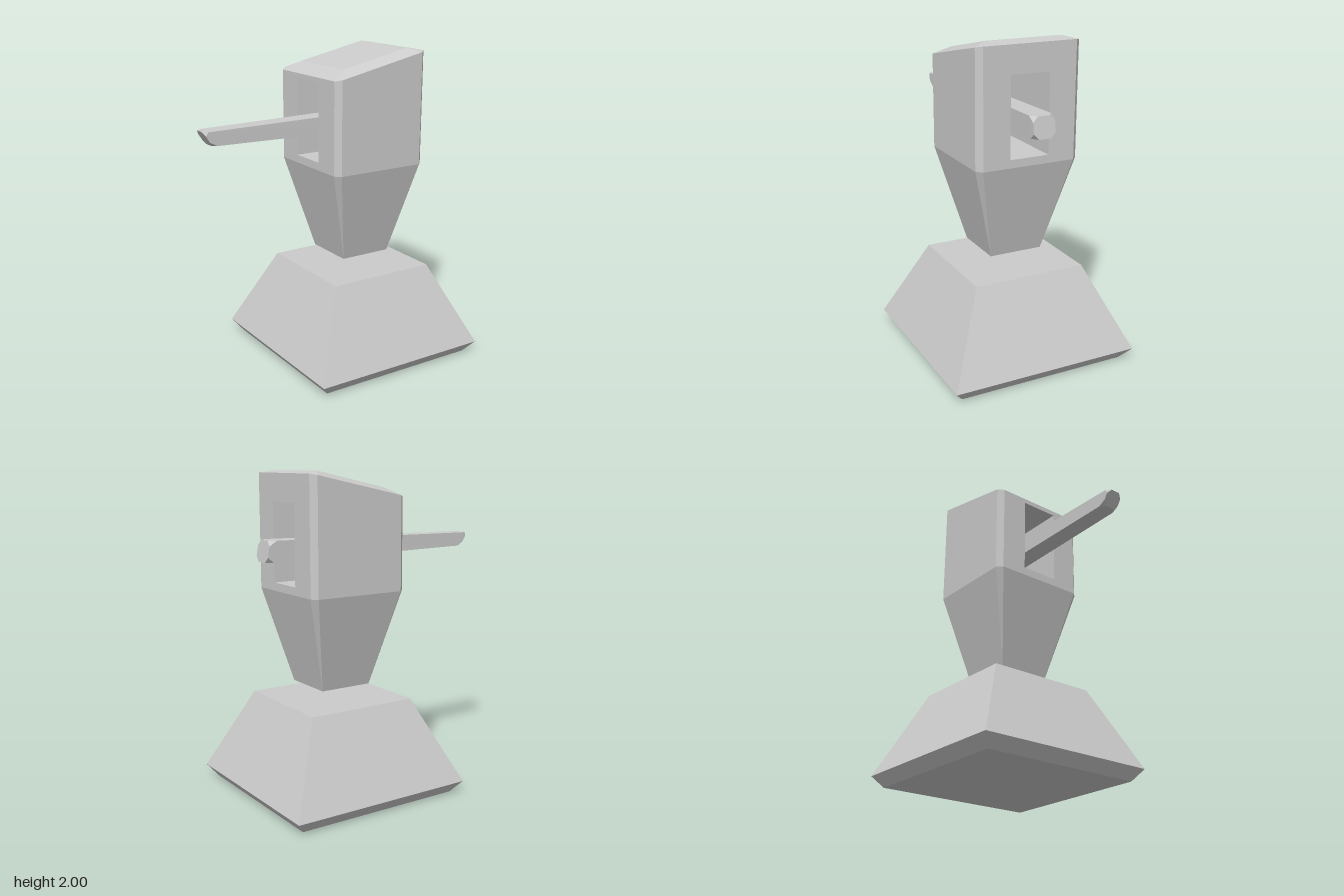
import * as THREE from 'three';

const material = new THREE.MeshStandardMaterial({ color: 0xcccccc, flatShading: true });

// Rectangle with its corners cut by c, counter-clockwise in (u, v), put in space by place().
// With c = 0 the corner points coincide in pairs, so it can be joined to a cut one.
function section(u0, u1, v0, v1, c, place) {
  return [
    [u0 + c, v0], [u1 - c, v0], [u1, v0 + c], [u1, v1 - c],
    [u1 - c, v1], [u0 + c, v1], [u0, v1 - c], [u0, v0 + c],
  ].map(([u, v]) => new THREE.Vector3(...place(u, v)));
}

// Horizontal section whose height may depend on x.
const level = (x0, x1, halfZ, c, y) =>
  section(x0, x1, -halfZ, halfZ, c, (x, v) => [x, y(x), -v]);

// Upright section across the bar; x may lean with the height.
const across = (y0, y1, z0, z1, c, x) =>
  section(y0, y1, z0, z1, c, (y, z) => [x(y), y, z]);

// Polygons joining successive sections, with both ends capped.
function loft(rings, skip = () => false) {
  const faces = [[...rings[0]].reverse(), rings[rings.length - 1]];
  for (let r = 0; r + 1 < rings.length; r++) {
    for (let i = 0; i < 8; i++) {
      const j = (i + 1) % 8;
      if (!skip(r, i)) faces.push([rings[r][i], rings[r][j], rings[r + 1][j], rings[r + 1][i]]);
    }
  }
  return faces;
}

// Mesh from convex polygons, leaving out collapsed triangles.
function meshOf(name, faces) {
  const points = [];
  for (const f of faces) {
    for (let i = 1; i + 1 < f.length; i++) {
      const tri = new THREE.Triangle(f[0], f[i], f[i + 1]);
      if (tri.getArea() > 1e-7) points.push(tri.a, tri.b, tri.c);
    }
  }
  const geometry = new THREE.BufferGeometry().setFromPoints(points);
  geometry.computeVertexNormals();
  const mesh = new THREE.Mesh(geometry, material);
  mesh.name = name;
  return mesh;
}

export function createModel() {
  const group = new THREE.Group();
  group.name = 'model';

  // Sloping base with an undercut foot
  group.add(meshOf('base', loft([
    level(-0.31, 0.765, 0.54, 0, () => 0),
    level(-0.37, 0.825, 0.6, 0, () => 0.075),
    level(-0.13, 0.583, 0.358, 0, () => 0.595),
  ])));

  // Body: tapered below, chamfered box above, slanted bevelled top
  const rings = [
    level(0.055, 0.395, 0.17, 0, () => 0.68),
    level(-0.105, 0.55, 0.33, 0.034, () => 1.275),
    level(-0.105, 0.55, 0.33, 0.034, (x) => 1.868 + 0.213 * x),
    level(0, 0.46, 0.24, 0, (x) => 1.9 + 0.217 * x),
  ];
  const faces = loft(rings, (r, i) => r === 1 && (i === 2 || i === 6));

  // Window through the body: a frame on each side and the tunnel between
  const windowCorners = (x, s) =>
    [[1.325, s], [1.325, -s], [1.815, -s], [1.815, s]].map(([y, z]) => new THREE.Vector3(x, y, z));
  const bandAround = (outer, inner) => {
    for (let k = 0; k < 4; k++) {
      const n = (k + 1) % 4;
      faces.push([outer[k], outer[n], inner[n], inner[k]]);
    }
  };
  const sideFace = (i) => [rings[1][i], rings[1][i + 1], rings[2][i + 1], rings[2][i]];
  bandAround(sideFace(2), windowCorners(0.55, 0.125));
  bandAround(sideFace(6), windowCorners(-0.105, -0.125));
  bandAround(windowCorners(0.55, 0.125), windowCorners(-0.105, 0.125));
  group.add(meshOf('body', faces));

  // Tapered bar through the window, both ends slanted with clipped corners
  const leftEnd = (y) => -0.775 - (y - 1.493) * 0.63;
  const rightEnd = (y) => 0.707 - (y - 1.472) * 0.16;
  group.add(meshOf('bar', loft([
    across(1.493, 1.58, -0.065, 0.045, 0.025, leftEnd),
    across(1.493, 1.58, -0.066, 0.046, 0, (y) => leftEnd(y) + 0.03),
    across(1.472, 1.6, -0.08, 0.06, 0, (y) => rightEnd(y) - 0.043),
    across(1.472, 1.6, -0.08, 0.06, 0.032, rightEnd),
  ])));

  return group;
}
